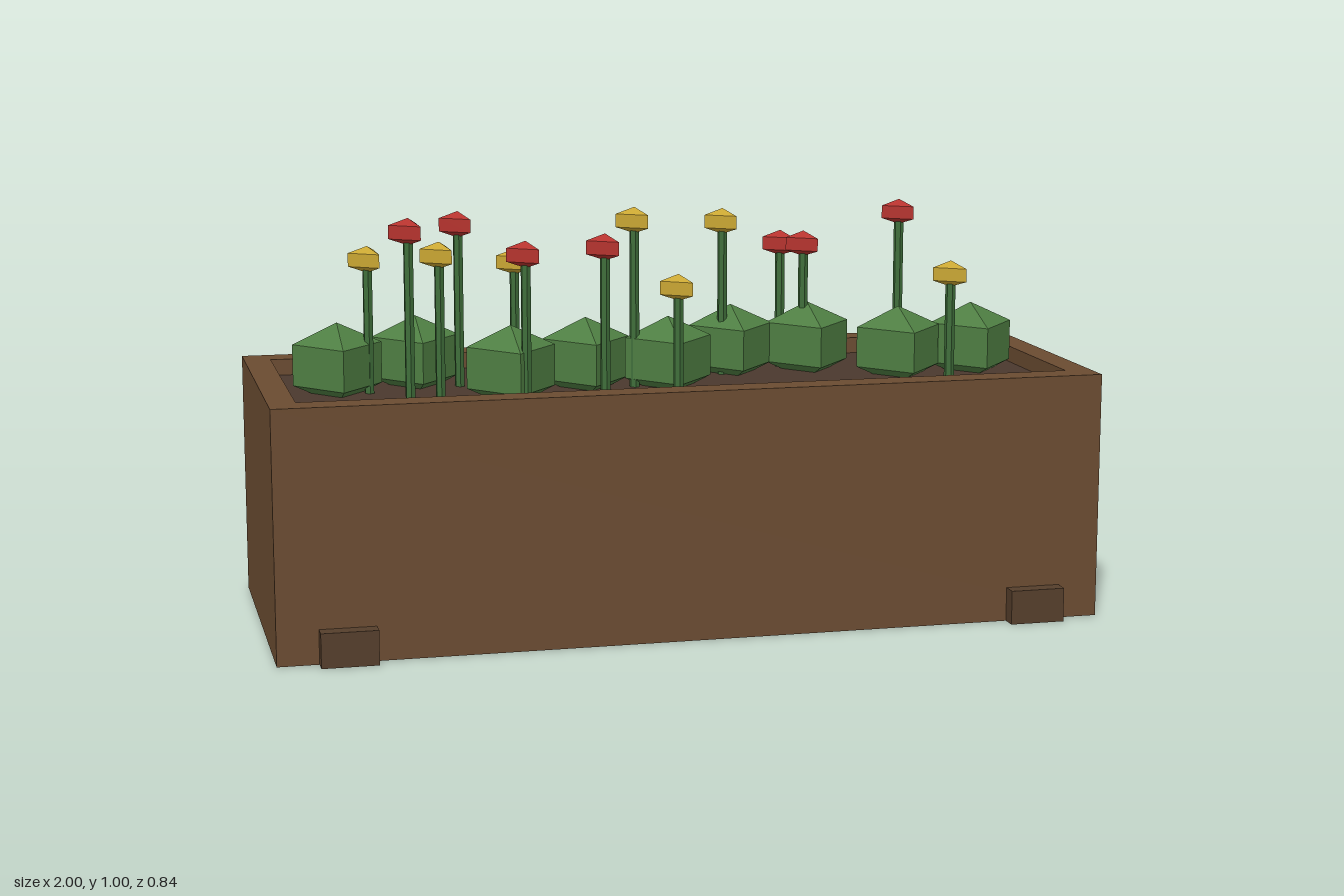
import * as THREE from 'three';

const mat = (color) => new THREE.MeshStandardMaterial({ color, flatShading: true });
const WOOD = mat(0x6a4b31), BATTEN = mat(0x553e2b), SOIL = mat(0x4a382d);
const LEAF = mat(0x4f7f43), STEM = mat(0x3f6e3a), RED = mat(0xb5322d), YELLOW = mat(0xc9a632);

const SOIL_TOP = 0.56;

function add(parent, name, geometry, material, x = 0, y = 0, z = 0) {
  const mesh = new THREE.Mesh(geometry, material);
  mesh.name = name;
  mesh.position.set(x, y, z);
  parent.add(mesh);
  return mesh;
}

// Rectangle outline centred on the origin
const rect = (Type, w, h) => new Type([
  new THREE.Vector2(-w, -h), new THREE.Vector2(w, -h),
  new THREE.Vector2(w, h), new THREE.Vector2(-w, h),
]);

export function createModel() {
  const model = new THREE.Group();
  model.name = 'flowerPlanter';

  // Box walls, open at top and bottom
  const outline = rect(THREE.Shape, 1, 0.38);
  outline.holes.push(rect(THREE.Path, 0.935, 0.305));
  const walls = new THREE.ExtrudeGeometry(outline, { depth: 0.6, bevelEnabled: false });
  walls.rotateX(-Math.PI / 2);
  add(model, 'boxWalls', walls, WOOD);

  // Soil slab
  add(model, 'soil', new THREE.BoxGeometry(1.87, 0.04, 0.61), SOIL, 0, SOIL_TOP - 0.02, 0);

  // Battens running under the box, ends showing as feet
  for (const side of [-1, 1]) {
    add(model, 'footBatten', new THREE.BoxGeometry(0.134, 0.083, 0.836), BATTEN, side * 0.835, 0.0415, 0);
  }

  // Bushes: four-sided low-poly spheres, evenly spaced along x
  const bush = new THREE.SphereGeometry(1, 4, 3).scale(0.124, 0.1, 0.15);
  const bushZ = [-0.03, -0.105, 0.105, 0.02, 0.05, -0.11, -0.11, 0.02, -0.005];
  bushZ.forEach((z, i) => add(model, 'bush', bush, LEAF, -0.8 + i * 0.2, 0.63, z));

  // Flowers: x, head height, z, colour
  const head = new THREE.SphereGeometry(1, 3, 3).scale(0.053, 0.032, 0.067);
  const flowers = [
    [-0.727, 0.884, -0.002, YELLOW], [-0.652, 0.968, 0.17, RED],
    [-0.572, 0.904, 0.117, YELLOW], [-0.5, 0.957, -0.048, RED],
    [-0.382, 0.912, 0.212, RED], [-0.334, 0.842, -0.203, YELLOW],
    [-0.19, 0.923, 0.203, RED], [-0.086, 0.968, 0.058, YELLOW],
    [-0.014, 0.823, 0.215, YELLOW], [0.168, 0.945, -0.071, YELLOW],
    [0.34, 0.877, -0.15, RED], [0.388, 0.879, -0.105, RED],
    [0.666, 0.944, -0.184, RED], [0.68, 0.83, 0.18, YELLOW],
  ];
  for (const [x, y, z, color] of flowers) {
    const flower = new THREE.Group();
    flower.name = 'flower';
    flower.position.set(x, 0, z);
    const length = y - SOIL_TOP + 0.01;
    const stem = new THREE.CylinderGeometry(1, 1, length, 6).scale(0.012, 1, 0.015);
    add(flower, 'stem', stem, STEM, 0, y - length / 2, 0);
    add(flower, 'flowerHead', head, color, 0, y, 0);
    model.add(flower);
  }
  return model;
}
